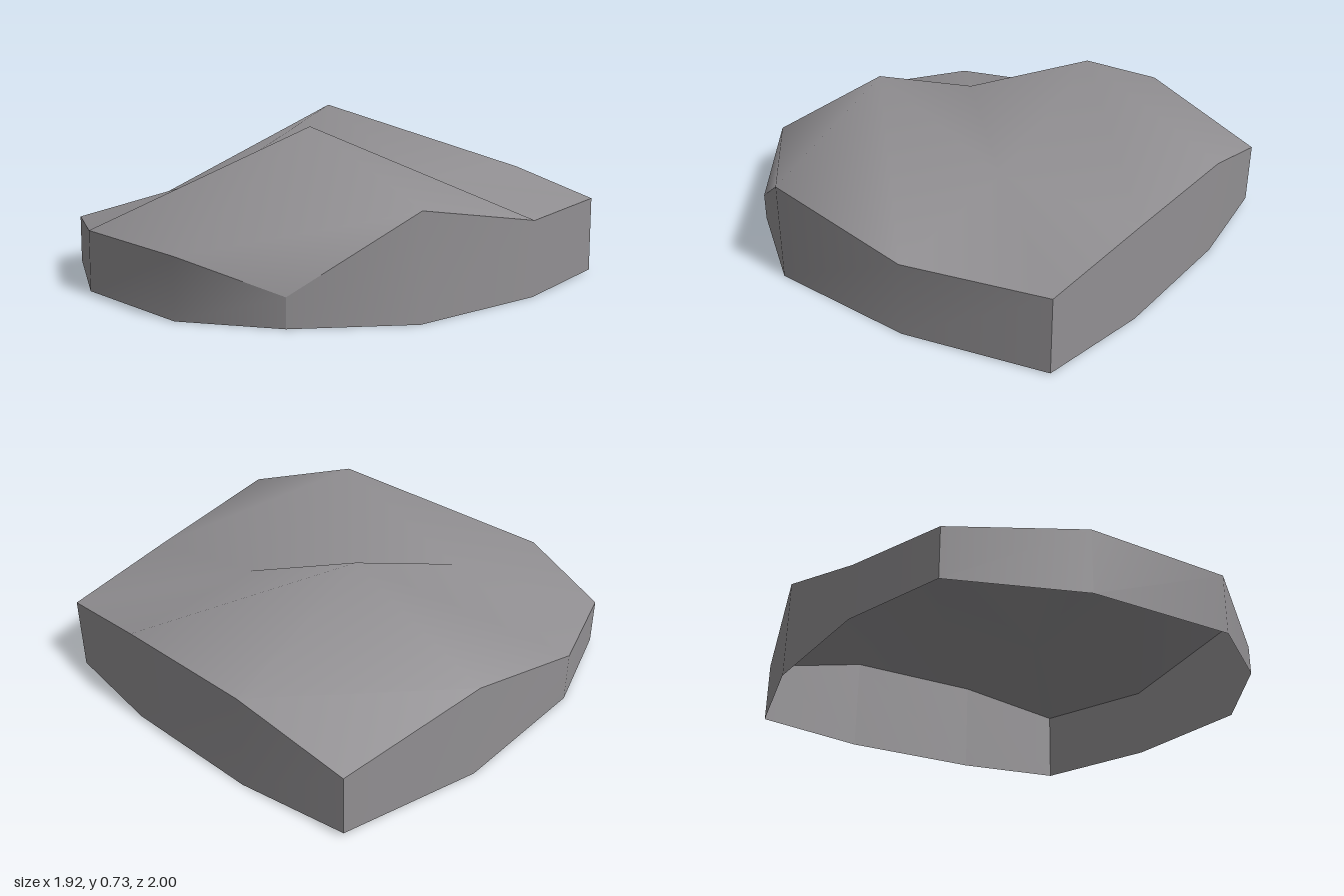
import * as THREE from 'three';

// 4 x 4 grid of [x, z, top height, base height], rows run from back to front
const GRID = [
  [[-0.81, -0.94, 0.29, 0.02], [-0.32, -1, 0.43, 0], [0.32, -1, 0.43, 0], [0.81, -0.93, 0.335, 0.005]],
  [[-0.96, -0.33, 0.43, 0], [-0.32, -0.33, 0.73, 0], [0.32, -0.33, 0.43, 0], [0.96, -0.33, 0.32, 0]],
  [[-0.96, 0.33, 0.23, 0], [-0.32, 0.33, 0.43, 0], [0.32, 0.33, 0.7, 0], [0.96, 0.33, 0.43, 0]],
  [[-0.82, 0.77, 0.23, 0.02], [-0.32, 1, 0.26, 0], [0.32, 1, 0.25, 0], [0.68, 0.75, 0.12, 0]],
];

const top = ([x, z, y]) => [x, y, z];
const base = ([x, z, , y]) => [x, y, z];

// Smooth indexed surface through rows of points
function surface(rows) {
  const n = rows[0].length;
  const index = [];
  for (let j = 0; j < rows.length - 1; j++) {
    for (let i = 0; i < n - 1; i++) {
      const a = j * n + i, b = a + 1, c = a + n, d = c + 1;
      index.push(a, c, b, c, d, b);
    }
  }
  const geometry = new THREE.BufferGeometry();
  geometry.setAttribute('position', new THREE.Float32BufferAttribute(rows.flat(2), 3));
  geometry.setIndex(index);
  geometry.computeVertexNormals();
  return geometry;
}

export function createModel() {
  const group = new THREE.Group();
  group.name = 'rockSlab';
  const stone = new THREE.MeshStandardMaterial({ color: 0x918f92, side: THREE.DoubleSide });
  stone.name = 'greyStone';

  const add = (name, rows) => {
    const mesh = new THREE.Mesh(surface(rows), stone);
    mesh.name = name;
    group.add(mesh);
  };

  // Two-peaked upper face
  add('rockTop', GRID.map((row) => row.map(top)));

  // Side walls, each smooth along its length and creased at the corners; open below
  const sides = {
    frontWall: GRID[3],
    leftWall: GRID.map((row) => row[3]).reverse(),
    backWall: [...GRID[0]].reverse(),
    rightWall: GRID.map((row) => row[0]),
  };
  for (const [name, edge] of Object.entries(sides)) add(name, [edge.map(top), edge.map(base)]);

  return group;
}
